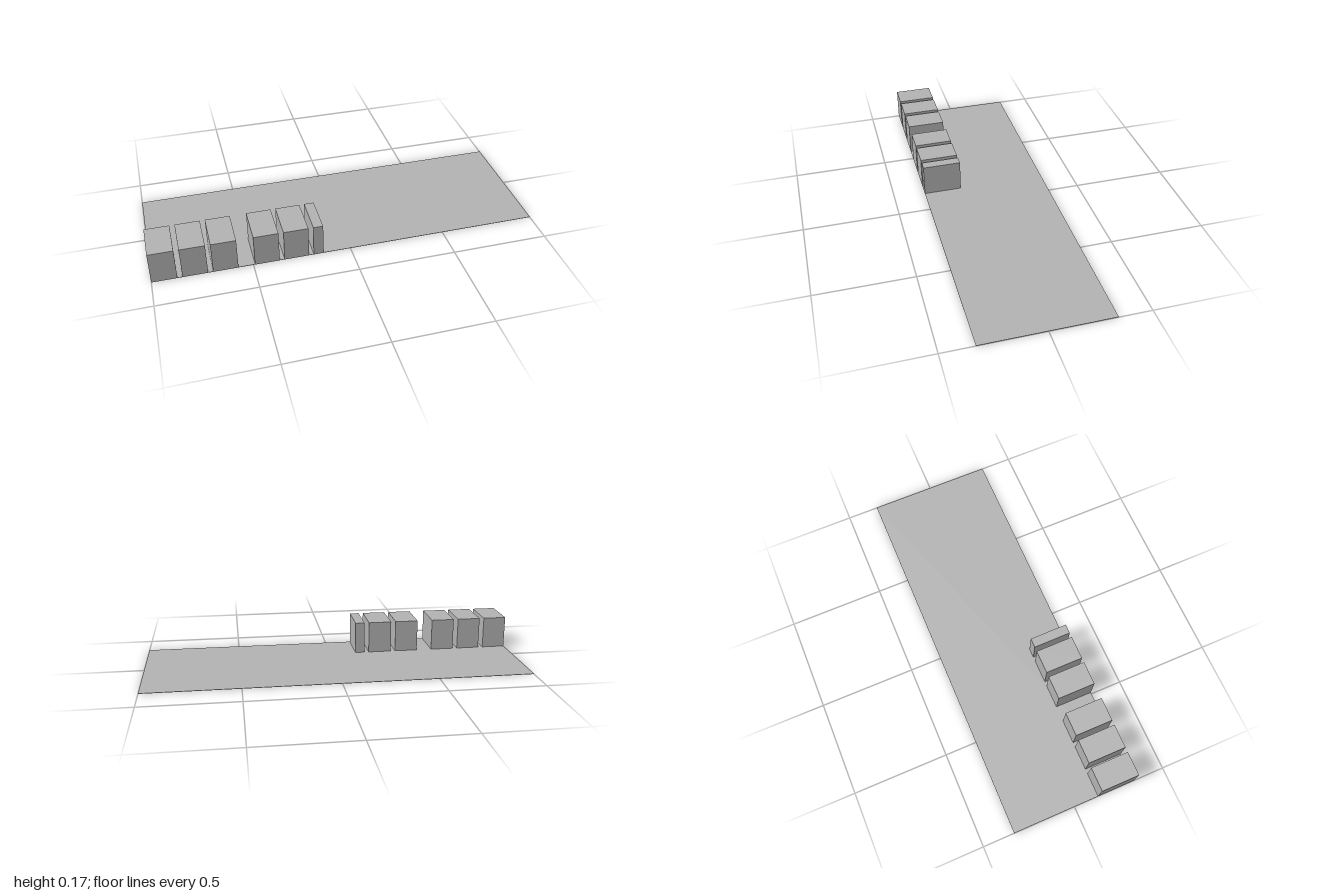
import * as THREE from 'three';

export function createModel() {
  const model = new THREE.Group();
  model.name = 'siteModel';
  const grey = new THREE.MeshStandardMaterial({ color: 0xb2b2b2 });
  grey.name = 'plain grey';

  // Box placed by its minimum and maximum corners
  function addBox(name, [x0, y0, z0], [x1, y1, z1]) {
    const mesh = new THREE.Mesh(new THREE.BoxGeometry(x1 - x0, y1 - y0, z1 - z0), grey);
    mesh.name = name;
    mesh.position.set((x0 + x1) / 2, (y0 + y1) / 2, (z0 + z1) / 2);
    model.add(mesh);
  }

  const halfDepth = 0.333;
  const slabTop = 0.002;

  // Thin ground slab
  addBox('groundSlab', [-1, 0, -halfDepth], [1, slabTop, halfDepth]);

  // Two rows of three blocks along the front edge; the last one is narrow
  const blocks = [
    [-1, 0.125], [-0.85, 0.125], [-0.7, 0.125],
    [-0.492, 0.125], [-0.342, 0.125], [-0.192, 0.05],
  ];
  blocks.forEach(([x, width], i) => {
    addBox(`block${i + 1}`, [x, slabTop, 0.132], [x + width, 0.172, halfDepth]);
  });

  return model;
}
